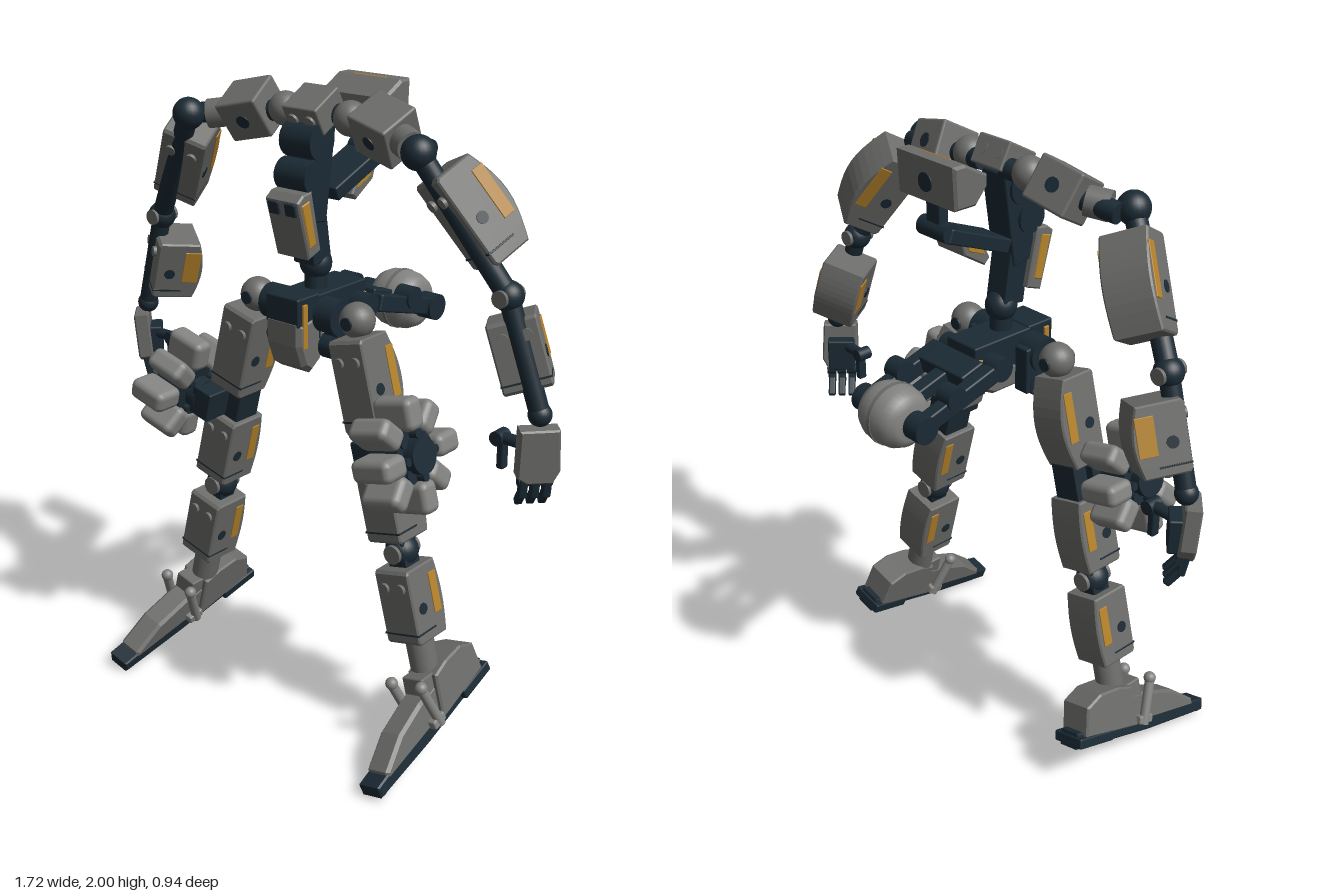
import * as THREE from 'three';
import { RoundedBoxGeometry } from 'three/addons/geometries/RoundedBoxGeometry.js';

const mat = (color) => new THREE.MeshStandardMaterial({ color });
const GREY = mat(0x6c6c6a), LIGHT = mat(0x828280), DARK = mat(0x1b2a34), GOLD = mat(0xb4822a);
const V = (x, y, z) => new THREE.Vector3(x, y, z);

function add(parent, name, geo, material, x = 0, y = 0, z = 0, rx = 0, ry = 0, rz = 0) {
  const m = new THREE.Mesh(geo, material);
  m.name = name;
  m.position.set(x, y, z);
  m.rotation.set(rx, ry, rz);
  parent.add(m);
}
function group(parent, name, x = 0, y = 0, z = 0) {
  const g = new THREE.Group();
  g.name = name;
  g.position.set(x, y, z);
  parent.add(g);
  return g;
}
const box = (w, h, d, r = 0.006) => new RoundedBoxGeometry(w, h, d, 2, r);
const ball = (r) => new THREE.SphereGeometry(r, 24, 16);
function cyl(r, len, axis = 'y') {
  const g = new THREE.CylinderGeometry(r, r, len, 24);
  if (axis === 'x') g.rotateZ(Math.PI / 2);
  if (axis === 'z') g.rotateX(Math.PI / 2);
  return g;
}
// Side outline of [z, y] points, extruded across x with a small chamfer
function slab(points, width, bevel = 0.005) {
  const shape = new THREE.Shape(points.map(([z, y]) => new THREE.Vector2(z, y)));
  const g = new THREE.ExtrudeGeometry(shape, {
    depth: width - 2 * bevel, bevelEnabled: true, bevelSegments: 1,
    bevelSize: bevel, bevelOffset: -bevel, bevelThickness: bevel,
  });
  g.translate(0, 0, -(width - 2 * bevel) / 2);
  return g.rotateY(-Math.PI / 2);
}
// Group at the middle of a-b whose -y runs towards b, twisted about its length
function limb(parent, name, a, b, twist = 0) {
  const g = group(parent, name);
  g.position.copy(a).lerp(b, 0.5);
  g.quaternion.setFromUnitVectors(V(0, -1, 0), b.clone().sub(a).normalize());
  g.rotateY(twist);
  return g;
}
// Limb armour: flat studded front, bulging back plate, gold side stripes, pin holes
function armour(parent, name, w, h, d, y, bulge, stripe = 0.034) {
  const g = group(parent, name, 0, y, 0);
  const pts = [[d / 2 - 0.008, -h / 2], [d / 2, -h / 2 + 0.01], [d / 2, h / 2 - 0.01], [d / 2 - 0.008, h / 2]];
  for (let i = 0; i <= 10; i++) {
    const t = i / 10;
    pts.push([-d / 2 + bulge * (1 - Math.sin(Math.PI * t)), h / 2 - h * t]);
  }
  add(g, 'shell', slab(pts, w, 0.005), GREY);
  for (const s of [-1, 1]) {
    add(g, 'stripe', box(0.006, h * 0.55, stripe, 0.002), GOLD, s * w / 2, h * 0.08, -d * 0.25);
    add(g, 'pinHole', cyl(0.018, 0.005, 'x'), DARK, s * w / 2, -h * 0.05, d * 0.2);
    add(g, 'stud', cyl(0.017, 0.014, 'z'), GREY, s * w * 0.24, h * 0.27, d / 2 + 0.004);
  }
  add(g, 'seam', box(w + 0.003, 0.006, d * 0.6, 0.001), DARK, 0, -h * 0.36, d * 0.205);
  return g;
}
// Reflects a copy in x; every geometry is symmetric in its own x
function mirrored(src) {
  const c = src.clone();
  c.traverse((o) => {
    const q = o.quaternion;
    o.position.x *= -1;
    q.set(q.x, -q.y, -q.z, q.w);
  });
  return c;
}

function buildLeg() {
  const leg = new THREE.Group();
  leg.position.set(0.2, 1.34, 0.105);
  leg.rotation.z = 0.255;
  add(leg, 'hipBall', ball(0.055), GREY);
  add(leg, 'hipPin', cyl(0.02, 0.115, 'z'), DARK);
  armour(leg, 'upperThigh', 0.13, 0.29, 0.16, -0.19, 0.035);
  add(leg, 'thighJoint', box(0.1, 0.12, 0.1), DARK, 0, -0.385, 0);
  armour(leg, 'lowerThigh', 0.13, 0.24, 0.15, -0.56, 0.012);
  add(leg, 'kneeBall', ball(0.052), DARK, 0, -0.725, 0);
  add(leg, 'kneeRing', cyl(0.03, 0.108, 'z'), GREY, 0, -0.725, 0);
  add(leg, 'kneeNeck', box(0.07, 0.14, 0.07), DARK, 0, -0.725, 0);
  armour(leg, 'shin', 0.13, 0.24, 0.15, -0.89, 0.012);
  add(leg, 'ankle', cyl(0.045, 0.13), GREY, 0, -1.06, 0);

  // Ring of rounded pods around a hub on the outside of the thigh
  const ring = group(leg, 'podRing', 0.15, -0.387, 0.09);
  add(ring, 'hub', cyl(0.085, 0.1, 'x'), DARK);
  add(ring, 'hubCap', cyl(0.055, 0.17, 'x'), DARK);
  add(ring, 'axle', cyl(0.03, 0.2, 'x'), DARK, -0.04, 0, 0);
  add(ring, 'bracket', box(0.08, 0.1, 0.14), DARK, -0.11, 0, -0.02);
  for (let i = 0; i < 8; i++) {
    const arm = group(ring, 'podArm', i % 2 ? -0.005 : 0.015);
    arm.rotation.x = i * Math.PI / 4;
    add(arm, 'pod', box(0.14, 0.1, 0.07, 0.022), LIGHT, 0, 0.126, 0);
    add(arm, 'podPeg', cyl(0.02, 0.06), DARK, 0, 0.075, 0);
    add(arm, 'hubBolt', cyl(0.013, 0.125, 'x'), DARK, 0, 0.065, 0);
  }

  // Sloping foot
  const foot = group(leg, 'foot', 0.012, -1.387, -0.105);
  add(foot, 'sole', slab([[0.46, 0.012], [0.47, 0.05], [0.3, 0.105], [-0.11, 0.21], [-0.125, 0.16], [0.2, 0.07]], 0.08), DARK);
  add(foot, 'heelPad', box(0.12, 0.035, 0.15), DARK, 0, 0.165, -0.05, 0.26);
  add(foot, 'heelCover', slab([[0.14, 0.12], [0.14, 0.265], [0.08, 0.29], [0, 0.305], [-0.065, 0.285], [-0.09, 0.19]], 0.115, 0.006), GREY);
  add(foot, 'toeCover', slab([[0.42, 0.05], [0.42, 0.075], [0.33, 0.155], [0.22, 0.205], [0.12, 0.235], [0.12, 0.125]], 0.085, 0.01), GREY);
  add(foot, 'toeTip', cyl(0.02, 0.07, 'x'), DARK, 0, 0.034, 0.445);
  for (const s of [-1, 1]) {
    add(foot, 'piston', cyl(0.016, 0.15), LIGHT, s * 0.058, 0.185, 0.19, 0.4);
    add(foot, 'pistonEnd', ball(0.02), LIGHT, s * 0.058, 0.26, 0.22);
    add(foot, 'pistonClip', box(0.03, 0.03, 0.06), LIGHT, s * 0.052, 0.13, 0.17, 0.26);
  }
  add(foot, 'instepBlock', box(0.08, 0.08, 0.08), GREY, 0, 0.23, 0.15);
  return leg;
}

function buildArm() {
  const arm = new THREE.Group();
  const shoulder = V(0.44, 1.88, 0.145), elbow = V(0.685, 1.5, 0.045), wrist = V(0.795, 1.17, 0.025);
  // Collar link
  add(arm, 'collarBall', ball(0.052), GREY, 0.125, 1.92, 0.05);
  add(arm, 'collarPin', cyl(0.032, 0.4, 'x'), DARK, 0.24, 1.9, 0.06, 0, -0.15, -0.12);
  add(arm, 'collarBlock', box(0.15, 0.135, 0.135, 0.008), GREY, 0.255, 1.905, 0.055, 0.5, -0.2, -0.14);
  add(arm, 'collarHole', cyl(0.022, 0.14, 'z'), DARK, 0.255, 1.905, 0.055, 0.5, -0.2, -0.14);
  add(arm, 'shoulderSocket', cyl(0.045, 0.07, 'x'), GREY, 0.36, 1.885, 0.09, 0, -0.5, -0.14);
  add(arm, 'shoulderBall', ball(0.05), DARK, shoulder.x, shoulder.y, shoulder.z);

  const core = limb(arm, 'upperArmCore', shoulder, elbow);
  add(core, 'armRod', cyl(0.032, 0.44), DARK);
  const upper = limb(arm, 'upperArm', V(0.455, 1.88, 0.095), V(0.665, 1.56, -0.025), -0.4);
  armour(upper, 'upperArmArmour', 0.145, 0.29, 0.16, 0, 0.035, 0.04);
  add(arm, 'elbowBall', ball(0.045), DARK, elbow.x, elbow.y, elbow.z);
  add(arm, 'elbowRing', cyl(0.025, 0.096, 'z'), GREY, elbow.x, elbow.y, elbow.z);

  const fore = limb(arm, 'forearm', elbow, wrist, 0.55);
  const cuff = armour(fore, 'forearmArmour', 0.145, 0.21, 0.16, 0.005, 0.02, 0.055);
  cuff.position.x = -0.012;
  cuff.position.z = -0.065;
  add(fore, 'forearmCore', cyl(0.03, 0.34), DARK);

  // Hand with an outer guard and curled fingers
  const hand = group(arm, 'hand', wrist.x, wrist.y, wrist.z);
  hand.rotation.y = -0.75;
  add(hand, 'wristBall', ball(0.035), DARK);
  add(hand, 'handGuard', slab([[0.06, -0.03], [0.06, -0.18], [0.03, -0.2], [-0.045, -0.2], [-0.065, -0.16], [-0.055, -0.03]], 0.05), GREY, 0.025, 0, 0.005, 0, 0, -0.08);
  add(hand, 'palm', box(0.06, 0.11, 0.09), DARK, -0.015, -0.13, 0.01);
  for (const z of [-0.03, 0.005, 0.04]) {
    add(hand, 'fingerBase', box(0.026, 0.08, 0.026), DARK, 0.005, -0.215, z, 0, 0, -0.2);
    add(hand, 'fingerTip', box(0.024, 0.07, 0.024), DARK, -0.02, -0.26, z, 0, 0, -0.7);
    add(hand, 'knuckle', cyl(0.019, 0.03, 'z'), DARK, 0, -0.2, z);
  }
  // Thumb reaching inwards
  const thumb = group(arm, 'thumb', wrist.x, wrist.y - 0.1, wrist.z);
  add(thumb, 'thumbBase', cyl(0.018, 0.11, 'x'), DARK, -0.075, 0, 0.005);
  add(thumb, 'thumbKnuckle', cyl(0.022, 0.05, 'z'), DARK, -0.125, 0, 0.005);
  add(thumb, 'thumbTip', box(0.024, 0.1, 0.03), DARK, -0.115, -0.045, 0.005);
  return arm;
}

function buildTorso(root) {
  const torso = group(root, 'torso');
  // Collar and chest
  add(torso, 'collar', box(0.13, 0.09, 0.12), GREY, 0, 1.935, 0.065, 0.5);
  for (const x of [-0.032, 0.032]) {
    add(torso, 'collarStud', cyl(0.018, 0.13, 'z'), GREY, x, 1.937, 0.07, 0.5);
    add(torso, 'chestSocket', box(0.04, 0.04, 0.01, 0.003), DARK, x, 1.665, 0.21, 0.22);
  }
  add(torso, 'chestCore', box(0.1, 0.3, 0.09), DARK, 0, 1.76, 0.09, -0.15);
  add(torso, 'chestJoint', cyl(0.055, 0.12, 'x'), DARK, 0, 1.85, 0.1);
  add(torso, 'chestJoint', cyl(0.05, 0.12, 'x'), DARK, 0, 1.75, 0.13);
  add(torso, 'chestPlate', slab([[0.165, 1.51], [0.215, 1.69], [0.19, 1.71], [0.15, 1.715], [0.11, 1.53]], 0.13), GREY);
  add(torso, 'chestTrim', slab([[0.165, 1.545], [0.2, 1.68], [0.165, 1.69], [0.135, 1.555]], 0.137, 0.003), GOLD);
  // Spine and waist
  add(torso, 'spine', box(0.085, 0.2, 0.08), DARK, 0, 1.58, 0.09, 0.15);
  add(torso, 'waistBall', ball(0.05), DARK, 0, 1.47, 0.06);
  add(torso, 'waistColumn', cyl(0.035, 0.14), DARK, 0, 1.42, 0.06);
  // Back plate and neck
  add(torso, 'neckArm', box(0.13, 0.045, 0.25), DARK, 0, 1.73, -0.08, 0.38);
  add(torso, 'backPlate', slab([[-0.04, 1.67], [-0.07, 1.73], [-0.16, 1.765], [-0.14, 1.7], [-0.06, 1.65]], 0.12), GREY);
  add(torso, 'backTrim', slab([[-0.06, 1.685], [-0.075, 1.72], [-0.135, 1.74], [-0.125, 1.71]], 0.125, 0.003), GOLD);
  add(torso, 'neckHinge', cyl(0.03, 0.12, 'x'), DARK, 0, 1.78, -0.19);
  add(torso, 'neck', box(0.06, 0.12, 0.035), DARK, 0, 1.83, -0.19);
  // Head
  const head = group(torso, 'head');
  add(head, 'headShell', slab([[-0.108, 1.92], [-0.108, 1.955], [-0.19, 2], [-0.235, 2], [-0.228, 1.872], [-0.15, 1.872]], 0.25, 0.008), GREY);
  add(head, 'facePanel', box(0.17, 0.07, 0.012, 0.003), DARK, 0, 1.896, -0.13, 0.72);
  add(head, 'headTrim', box(0.13, 0.012, 0.03, 0.002), GOLD, 0, 1.99, -0.185, 0.5);
  add(head, 'headPort', cyl(0.028, 0.006, 'z'), DARK, 0, 1.93, -0.232);
  // Pelvis
  const pelvis = group(torso, 'pelvis');
  add(pelvis, 'pelvisCore', box(0.13, 0.14, 0.27), DARK, 0, 1.325, 0.03);
  add(pelvis, 'pelvisTop', box(0.13, 0.09, 0.1), DARK, 0, 1.355, 0.168);
  add(pelvis, 'frontPlate', slab([[0.16, 1.155], [0.195, 1.18], [0.22, 1.25], [0.22, 1.32], [0.12, 1.34], [0.11, 1.19]], 0.14, 0.014), GREY);
  add(pelvis, 'frontTrim', box(0.144, 0.14, 0.02, 0.003), GOLD, 0, 1.31, 0.19);
  add(pelvis, 'underPlate', slab([[0.12, 1.22], [0.12, 1.28], [-0.12, 1.34], [-0.13, 1.27], [-0.03, 1.22]], 0.14, 0.01), GREY);
  add(pelvis, 'rearTrim', box(0.145, 0.08, 0.02, 0.003), GOLD, 0, 1.315, -0.095, 0.2);
  for (const s of [-1, 1]) {
    add(pelvis, 'hipMotor', cyl(0.055, 0.07, 'x'), DARK, s * 0.11, 1.335, 0.11);
    add(pelvis, 'lowerMotor', cyl(0.04, 0.06, 'x'), DARK, s * 0.105, 1.235, 0.1);
    add(pelvis, 'motorMount', box(0.055, 0.15, 0.07), DARK, s * 0.105, 1.29, 0.08);
    add(pelvis, 'rearMotor', cyl(0.038, 0.06, 'x'), DARK, s * 0.1, 1.33, -0.05);
  }
  // Rear boom holding a round pod
  const boom = group(torso, 'rearBoom');
  add(boom, 'boomRoot', box(0.2, 0.06, 0.09), DARK, 0, 1.325, -0.14, -0.28);
  add(boom, 'boomMiddle', box(0.05, 0.045, 0.16), DARK, 0, 1.3, -0.22, -0.28);
  for (const s of [-1, 1]) {
    add(boom, 'boomArm', box(0.045, 0.055, 0.3), DARK, s * 0.118, 1.29, -0.23, -0.28);
    add(boom, 'boomHinge', cyl(0.043, 0.06, 'x'), DARK, s * 0.12, 1.25, -0.37);
    add(boom, 'boomJoint', cyl(0.036, 0.06, 'x'), DARK, s * 0.118, 1.31, -0.25);
  }
  const half = [[0, -0.088], [0.055, -0.085], [0.08, -0.07], [0.094, -0.04], [0.098, 0]];
  const outline = [...half, ...half.slice(0, -1).reverse().map(([r, x]) => [r, -x])];
  const podGeo = new THREE.LatheGeometry(outline.map(([r, x]) => new THREE.Vector2(r, x)), 32).rotateZ(Math.PI / 2);
  add(boom, 'rearPod', podGeo, LIGHT, 0, 1.25, -0.372);
  add(boom, 'podBand', cyl(0.1, 0.012, 'x'), GREY, 0, 1.25, -0.372);
}

export function createModel() {
  const root = new THREE.Group();
  root.name = 'walkingRobot';
  buildTorso(root);
  for (const [name, part] of [['Leg', buildLeg()], ['Arm', buildArm()]]) {
    const other = mirrored(part);
    part.name = 'left' + name;
    other.name = 'right' + name;
    root.add(part, other);
  }
  return root;
}
